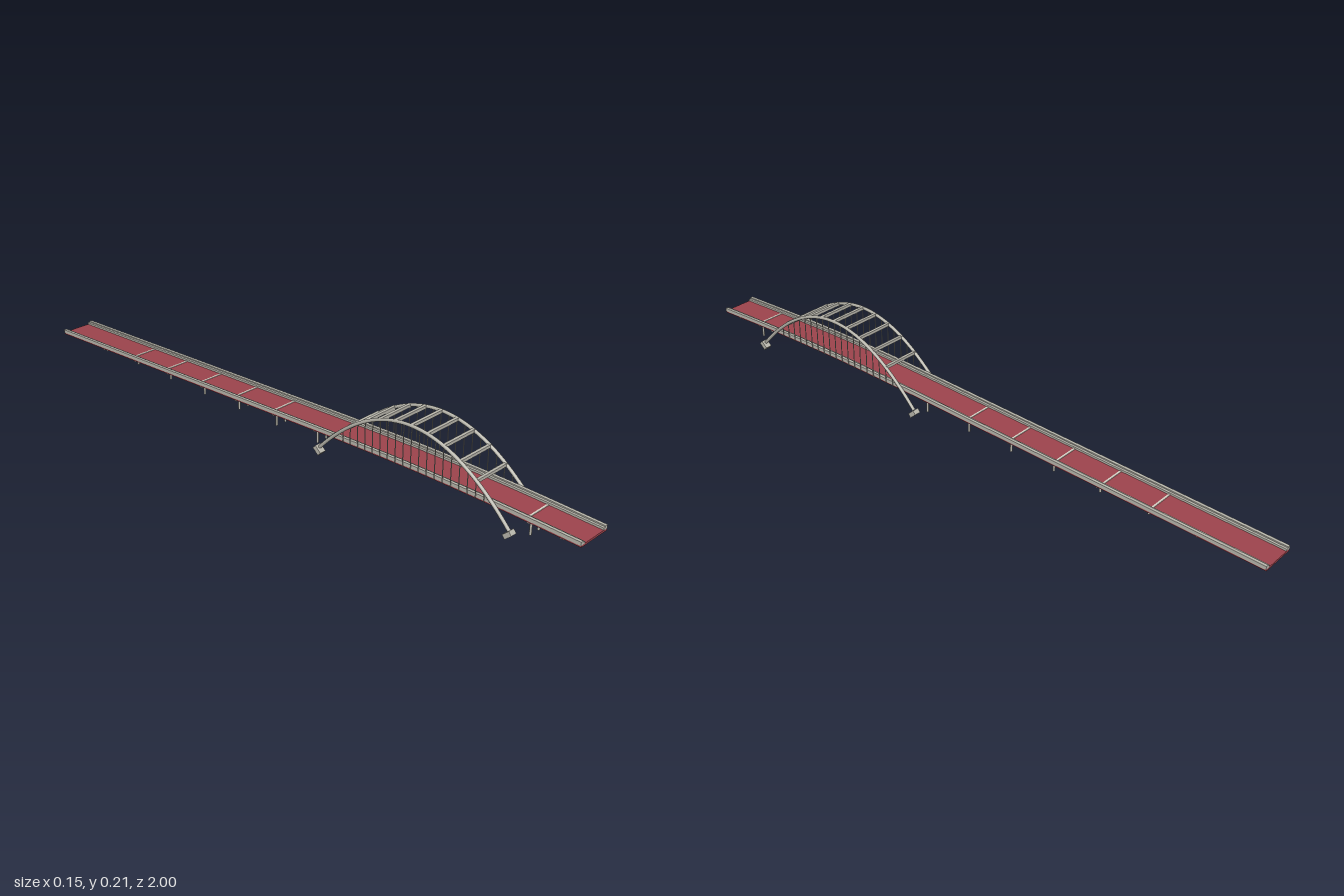
import * as THREE from 'three';

export function createModel() {
  const bridge = new THREE.Group();
  bridge.name = 'archBridge';

  const mat = (name, color) => {
    const m = new THREE.MeshStandardMaterial({ color });
    m.name = name;
    return m;
  };
  const red = mat('redDeck', 0x9c434c);
  const grey = mat('concreteGrey', 0xb6b4aa);
  const pale = mat('paleJoint', 0xd6d0c4);

  const add = (name, geometry, material, x = 0, y = 0, z = 0) => {
    const mesh = new THREE.Mesh(geometry, material);
    mesh.name = name;
    mesh.position.set(x, y, z);
    bridge.add(mesh);
    return mesh;
  };
  const box = (name, w, h, d, material, x, y, z) =>
    add(name, new THREE.BoxGeometry(w, h, d), material, x, y, z);

  // Height of the road surface along the bridge
  const roadCurve = new THREE.CatmullRomCurve3(
    [[-1, 0.026], [-0.5, 0.045], [0, 0.064], [0.2, 0.0715], [0.48, 0.078], [0.75, 0.076], [1, 0.068]]
      .map(([z, y]) => new THREE.Vector3(0, y, z)));
  const samples = roadCurve.getPoints(240);
  const roadY = (z) => {
    let i = 0;
    while (i < samples.length - 2 && samples[i + 1].z < z) i++;
    const a = samples[i], b = samples[i + 1];
    return a.y + (b.y - a.y) * (z - a.z) / (b.z - a.z);
  };

  // Long strip that follows the road: x range and heights above the surface
  const strip = (name, x0, x1, y0, y1, material) => {
    const g = new THREE.BoxGeometry(x1 - x0, y1 - y0, 2, 1, 1, 48);
    const p = g.attributes.position;
    for (let i = 0; i < p.count; i++) {
      p.setXYZ(i, p.getX(i) + (x0 + x1) / 2,
        p.getY(i) + (y0 + y1) / 2 + roadY(p.getZ(i)), p.getZ(i));
    }
    g.computeVertexNormals();
    add(name, g, material);
  };

  // Deck with a low kerb and a taller parapet on each side
  strip('deck', -0.055, 0.055, -0.006, 0, red);
  for (const s of [-1, 1]) {
    const pair = (a, b) => (s > 0 ? [a, b] : [-b, -a]);
    strip('kerb', ...pair(0.041, 0.049), 0, 0.006, grey);
    strip('parapet', ...pair(0.048, 0.057), -0.001, 0.0095, grey);
  }

  // Expansion joints across the road
  for (const z of [-0.655, -0.5, -0.345, -0.19, -0.035, 0.84]) {
    box('expansionJoint', 0.082, 0.002, 0.006, pale, 0, roadY(z) + 0.0005, z);
  }

  // Piers: a cross beam on three columns, [z, foot height]
  const piers = [[0.94, 0.05], [0.845, 0.022], [0.13, 0.018], [-0.03, 0.015], [-0.185, 0.013],
    [-0.335, 0.013], [-0.49, 0.013], [-0.645, 0.014], [-0.8, 0.013]];
  for (const [z, foot] of piers) {
    const top = roadY(z) - 0.005;
    box('pierBeam', 0.1, 0.007, 0.008, grey, 0, top - 0.0035, z);
    for (const x of [-0.035, 0, 0.035]) {
      const h = top - foot;
      add('pierColumn', new THREE.CylinderGeometry(0.0035, 0.0035, h, 8), grey, x, foot + h / 2, z);
    }
  }

  // Arches
  const archZ = 0.482, archX = 0.0615, half = 0.322;
  const archY = (d) => 0.203 - 1.74 * d * d;
  const points = [];
  for (let i = 0; i <= 24; i++) {
    const d = -half + (2 * half * i) / 24;
    points.push(new THREE.Vector3(0, archY(d), archZ + d));
  }
  const archCurve = new THREE.CatmullRomCurve3(points);
  for (const s of [-1, 1]) {
    add('archRib', new THREE.TubeGeometry(archCurve, 48, 0.005, 8), grey, s * archX, 0, 0);

    // Tilted footings
    for (const end of [-1, 1]) {
      const foot = box('archFooting', 0.021, 0.014, 0.026, grey,
        s * 0.0625, s > 0 ? 0.0142 : 0.0185, archZ + end * (s > 0 ? 0.324 : 0.32));
      foot.rotation.x = -end * 0.73;
    }

    // Hangers from arch to deck edge
    for (let i = 0; i < 19; i++) {
      const d = (i - 9) * 0.0262;
      const low = roadY(archZ + d) - 0.003;
      const h = archY(d) - low;
      add('hanger', new THREE.CylinderGeometry(0.0014, 0.0014, h, 6), grey,
        s * 0.0595, low + h / 2, archZ + d);
    }
  }

  // Cross beams between the arches
  for (let i = -4; i <= 4; i++) {
    const d = i * 0.053;
    box('archCrossBeam', 2 * archX, 0.009, 0.009, grey, 0, archY(d), archZ + d);
  }

  return bridge;
}
